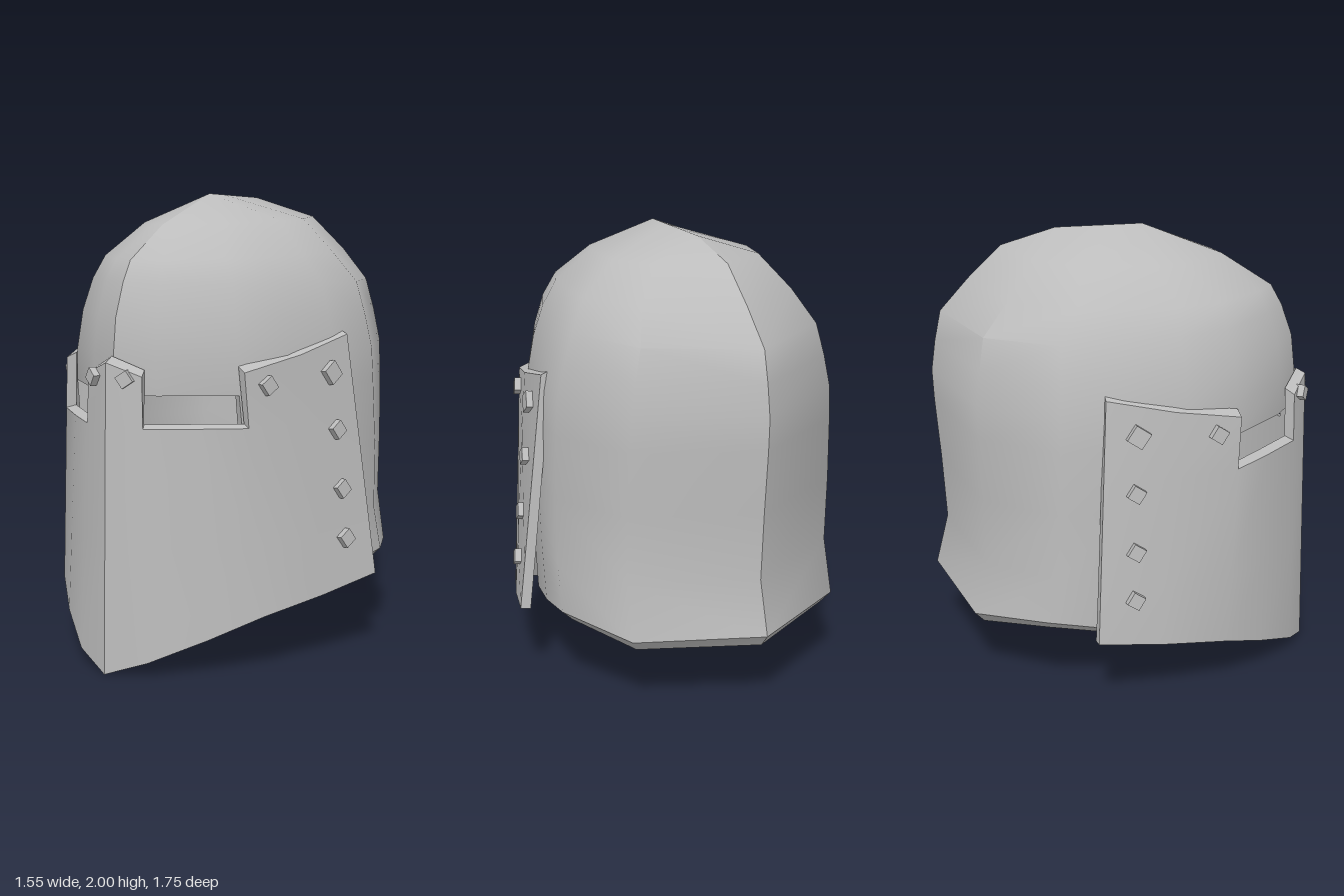
import * as THREE from 'three';
import { toCreasedNormals } from 'three/addons/utils/BufferGeometryUtils.js';

const V = (x, y, z) => new THREE.Vector3(x, y, z);
const { lerp, clamp } = THREE.MathUtils;

// Thick half shell from a grid of points: rows go down, columns go front to back
function shell(grid, keep, thickness, adjustInner, side) {
  const cols = grid[0].length, rows = grid.length, n = rows * cols;
  const pts = grid.flat();
  const has = (r, c) => r >= 0 && c >= 0 && r < rows - 1 && c < cols - 1 && keep(r, c);
  const outer = [], edges = [];
  for (let r = 0; r < rows - 1; r++) {
    for (let c = 0; c < cols - 1; c++) {
      if (!has(r, c)) continue;
      const a = r * cols + c, b = a + 1, d = a + cols, e = d + 1;
      outer.push(a, d, e);
      if (!pts[a].equals(pts[b])) outer.push(a, e, b);
      if (!has(r, c - 1)) edges.push([a, d]);
      if (!has(r + 1, c)) edges.push([d, e]);
      if (!has(r, c + 1)) edges.push([e, b]);
      if (!has(r - 1, c)) edges.push([b, a]);
    }
  }
  const geo = new THREE.BufferGeometry().setFromPoints(pts);
  geo.setIndex(outer);
  geo.computeVertexNormals();
  const nor = geo.attributes.normal;
  const inner = pts.map((p, i) => {
    const q = p.clone().addScaledVector(V(0, 0, 0).fromBufferAttribute(nor, i), -thickness);
    if (Math.abs(p.x) < 1e-6) q.x = 0;
    adjustInner(q, Math.floor(i / cols));
    return q;
  });
  const index = [...outer];
  for (let i = 0; i < outer.length; i += 3) {
    index.push(outer[i] + n, outer[i + 2] + n, outer[i + 1] + n);
  }
  // rim faces, except along the centre plane where the halves meet
  for (const [p, q] of edges) {
    if (Math.abs(pts[p].x) < 1e-6 && Math.abs(pts[q].x) < 1e-6) continue;
    index.push(q, p, p + n, q, p + n, q + n);
  }
  if (side < 0) index.reverse();
  const all = [...pts, ...inner].map((p) => V(p.x * side, p.y, p.z));
  const out = new THREE.BufferGeometry().setFromPoints(all);
  out.setIndex(index);
  return toCreasedNormals(out, 0.74);
}

// Skull outline: [share of half width, share of the way from front to back]
const OUTLINE = [[0, 0], [0.25, 0.045], [0.66, 0.17], [0.83, 0.3], [0.94, 0.46], [1, 0.62], [0.76, 0.84], [0, 1]];
// Skull rings: [front y, front z, half width, back y, back z]
const RINGS = [
  [2.0, 0.1, 0, 1.98, -0.28],
  [1.87, 0.45, 0.335, 1.9, -0.52],
  [1.73, 0.67, 0.485, 1.75, -0.67],
  [1.64, 0.72, 0.57, 1.6, -0.8],
  [1.5, 0.77, 0.615, 1.46, -0.83],
  [1.33, 0.79, 0.65, 1.32, -0.85],
  [1.18, 0.785, 0.66, 1.18, -0.845],
  [0.9, 0.74, 0.672, 0.9, -0.825],
  [0.6, 0.7, 0.67, 0.6, -0.81],
  [0.3, 0.66, 0.678, 0.36, -0.87],
];
const HEM = [0.25, 0.25, 0.27, 0.31, 0.355, 0.4, 0.355, 0.36];

// Visor columns: x, z at y = 1.3; x, z and y at the hem; top y
const VISOR = [
  [0, 0.84, 0, 0.875, 0, 1.32],
  [0.14, 0.78, 0.18, 0.81, 0.065, 1.265],
  [0.305, 0.66, 0.38, 0.655, 0.16, 1.05],
  [0.475, 0.53, 0.55, 0.49, 0.25, 1.28],
  [0.58, 0.25, 0.675, 0.21, 0.3, 1.335],
  [0.645, -0.04, 0.775, -0.065, 0.35, 1.4],
];

function visorPoint(u, y) {
  const i = Math.min(Math.floor(u), VISOR.length - 2), f = u - i;
  const on = ([x0, z0, x1, z1, y1]) => {
    const t = (1.3 - y) / (1.3 - y1);
    return V(lerp(x0, x1, t), y, lerp(z0, z1, t));
  };
  return on(VISOR[i]).lerp(on(VISOR[i + 1]), f);
}

export function createModel() {
  const model = new THREE.Group();
  model.name = 'helmet';
  const steel = new THREE.MeshStandardMaterial({ color: 0xbcbcbc });
  steel.name = 'steel grey';

  const add = (geo, name) => {
    const mesh = new THREE.Mesh(geo, steel);
    mesh.name = name;
    model.add(mesh);
    return mesh;
  };

  // the first ring is a short crest whose ends gather several columns
  const skullGrid = RINGS.map(([fy, fz, w, by, bz], r) => OUTLINE.map(([sx, t], c) => {
    const s = r === 0 ? clamp((t - 0.3) / 0.54, 0, 1) : t;
    const y = r === RINGS.length - 1 ? HEM[c] : lerp(fy, by, s);
    return V(sx * w, y, lerp(fz, bz, s));
  }));

  const visorGrid = [0, 1, 2, 3].map((r) => VISOR.map((col, c) =>
    visorPoint(c, [col[5], 1.05, 0.55, col[4]][r])));

  // [column position, height, size]
  const rivets = [
    [4.53, 1.245, 0.075], [4.53, 1.0, 0.06], [4.5, 0.745, 0.06], [4.48, 0.53, 0.06],
    [3.35, 1.22, 0.06], [0.55, 1.255, 0.055],
  ];

  for (const side of [1, -1]) {
    const label = side > 0 ? 'left' : 'right';

    // skull, open at the face below the brow
    add(shell(skullGrid, (r, c) => r < 6 || c >= 2, 0.05, (q, r) => {
      if (r === 0) q.y = 1.94;
      if (r === RINGS.length - 1) q.y -= 0.045;
    }, side), label + 'Skull');

    // face plate with an eye slot between nose and cheek
    add(shell(visorGrid, (r, c) => r > 0 || c === 0 || c >= 3, 0.045, (q, r) => {
      if (r === 0) q.y += 0.025;
      if (r === 1) q.y += 0.015;
    }, side), label + 'FacePlate');

    // square rivets turned on the plate
    for (const [u, y, size] of rivets) {
      const p = visorPoint(u, y);
      const along = visorPoint(u + 0.05, y).sub(p);
      const down = visorPoint(u, y - 0.05).sub(p);
      const normal = down.cross(along).normalize();
      p.x *= side;
      normal.x *= side;
      const rivet = add(new THREE.BoxGeometry(size, size, 0.06), label + 'Rivet');
      rivet.position.copy(p);
      rivet.lookAt(p.clone().add(normal));
      rivet.rotateZ(side * 0.6);
    }
  }
  return model;
}
